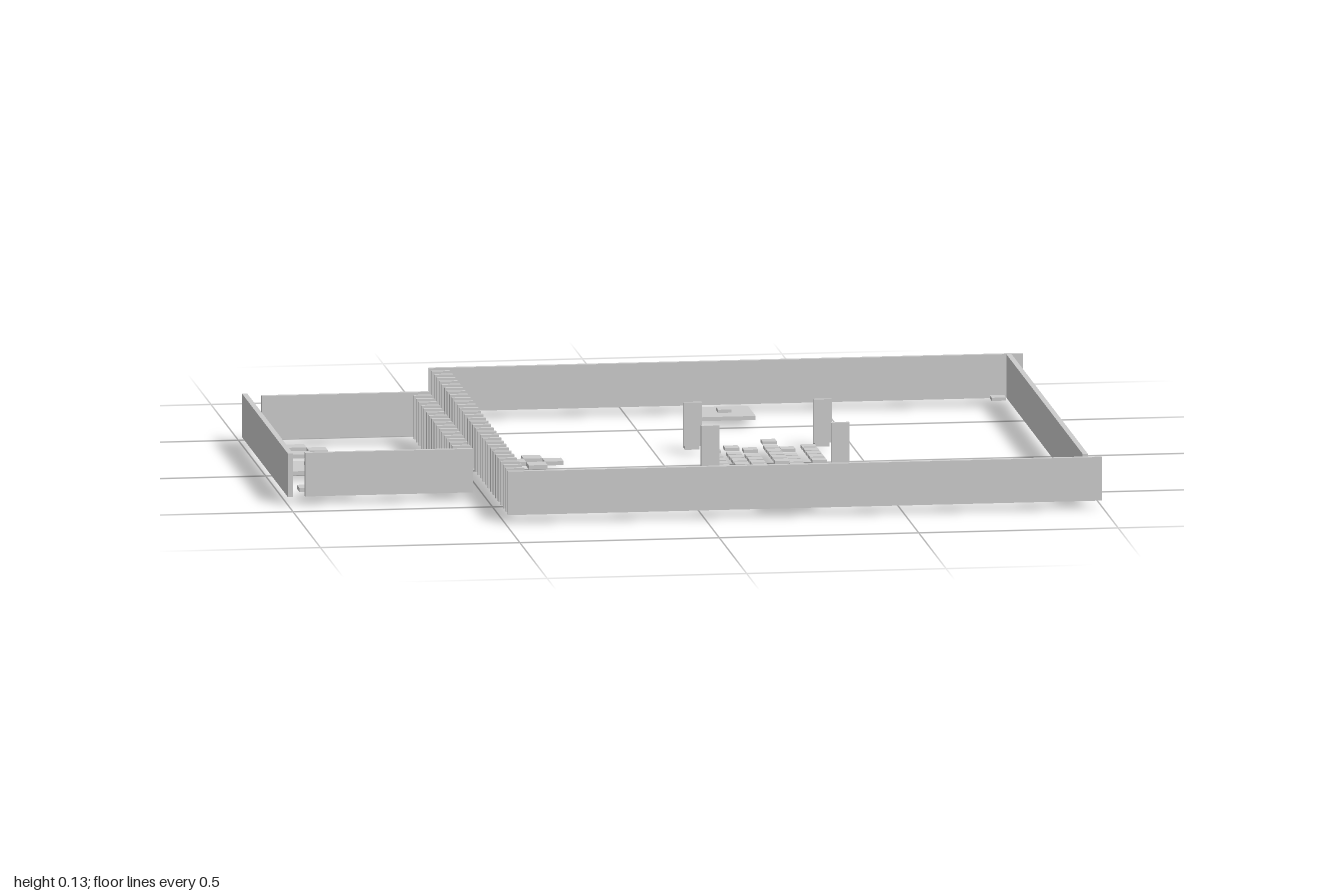
import * as THREE from 'three';

export function createModel() {
  const model = new THREE.Group();
  const stone = new THREE.MeshStandardMaterial({ color: 0xcccccc });
  stone.name = 'pale grey';

  // Box given by its lower and upper limits on each axis
  function block(name, x0, x1, y0, y1, z0, z1, parent = model) {
    const mesh = new THREE.Mesh(new THREE.BoxGeometry(x1 - x0, y1 - y0, z1 - z0), stone);
    mesh.position.set((x0 + x1) / 2, (y0 + y1) / 2, (z0 + z1) / 2);
    mesh.name = name;
    parent.add(mesh);
  }
  function group(name) {
    const g = new THREE.Group();
    g.name = name;
    model.add(g);
    return g;
  }

  const base = 0.02, top = 0.13;

  // Walls of the large court
  block('backWall', -0.492, 0.997, base, top, -0.728, -0.715);
  block('frontWall', -0.492, 0.997, base, top, 0.715, 0.728);
  block('leftWall', 0.955, 0.968, base, top, -0.715, 0.68);

  // Walls of the small court
  block('smallCourtEndWall', -1, -0.987, base, top, -0.434, 0.404);
  block('smallCourtBackWall', -0.956, -0.536, base, top, -0.404, -0.391);
  block('smallCourtFrontWall', -0.956, -0.536, base, top, 0.39, 0.403);

  // Two rows of upright slats between the courts
  const pitch = 0.0467;
  function slatRow(name, x0, x1, count) {
    const row = group(name);
    for (let i = 0; i < count; i++) {
      const z = (i - (count - 1) / 2) * pitch;
      block('slat', x0, x1, base, top, z - 0.0065, z + 0.0065, row);
    }
  }
  slatRow('largeCourtSlats', -0.491, -0.445, 30);
  slatRow('smallCourtSlats', -0.581, -0.536, 16);

  // Square pads with a small raised block in the middle
  for (const [x, z] of [[0.231, -0.598], [0.231, 0.567], [-0.885, 0.006]]) {
    const pad = group('pad');
    block('padSlab', x - 0.07, x + 0.07, 0.014, 0.024, z - 0.07, z + 0.07, pad);
    block('padKnob', x - 0.017, x + 0.017, 0.024, 0.032, z - 0.017, z + 0.017, pad);
  }

  // Crosses of four tiles round an open or filled centre
  const t = 0.0235;
  for (const [x, z, filled] of [[-0.887, -0.225, false], [-0.887, 0.285, true], [-0.327, 0.003, false]]) {
    const cross = group('tileCross');
    for (const [dx, dz] of [[1, 0], [-1, 0], [0, 1], [0, -1]]) {
      const cx = x + dx * 2 * t, cz = z + dz * 2 * t;
      block('crossTile', cx - t, cx + t, 0.014, 0.024, cz - t, cz + t, cross);
    }
    if (filled) block('crossCentre', x - 0.017, x + 0.017, 0.016, 0.028, z - 0.017, z + 0.017, cross);
  }

  // Corner tiles of the large court
  for (const x of [-0.422, 0.931]) {
    for (const z of [-0.693, 0.659]) {
      block('cornerTile', x - 0.018, x + 0.018, 0.02, 0.028, z - 0.018, z + 0.018);
    }
  }

  // Uneven paving in the middle, with one corner tile missing
  const paving = group('paving');
  const heights = [0, 0.006, 0, 0.02, 0, 0.02];
  for (let i = 0; i < 6; i++) {
    for (let j = 0; j < 6; j++) {
      if (i === 5 && j === 0) continue;
      const x = 0.139 + i * pitch, z = -0.132 + j * pitch;
      const y = heights[i] + (j === 0 ? 0.007 : 0);
      block('pavingTile', x - 0.018, x + 0.018, y, y + 0.008, z - 0.018, z + 0.018, paving);
    }
  }

  // Four flat posts, each with a foot tile behind
  for (const x of [0.092, 0.418]) {
    for (const z of [-0.163, 0.163]) {
      const post = group('post');
      block('postPlate', x - 0.023, x + 0.023, base, top, z - 0.005, z + 0.005, post);
      block('postFoot', x - 0.018, x + 0.018, 0.01, 0.02, z - 0.036, z + 0.001, post);
    }
  }

  return model;
}
